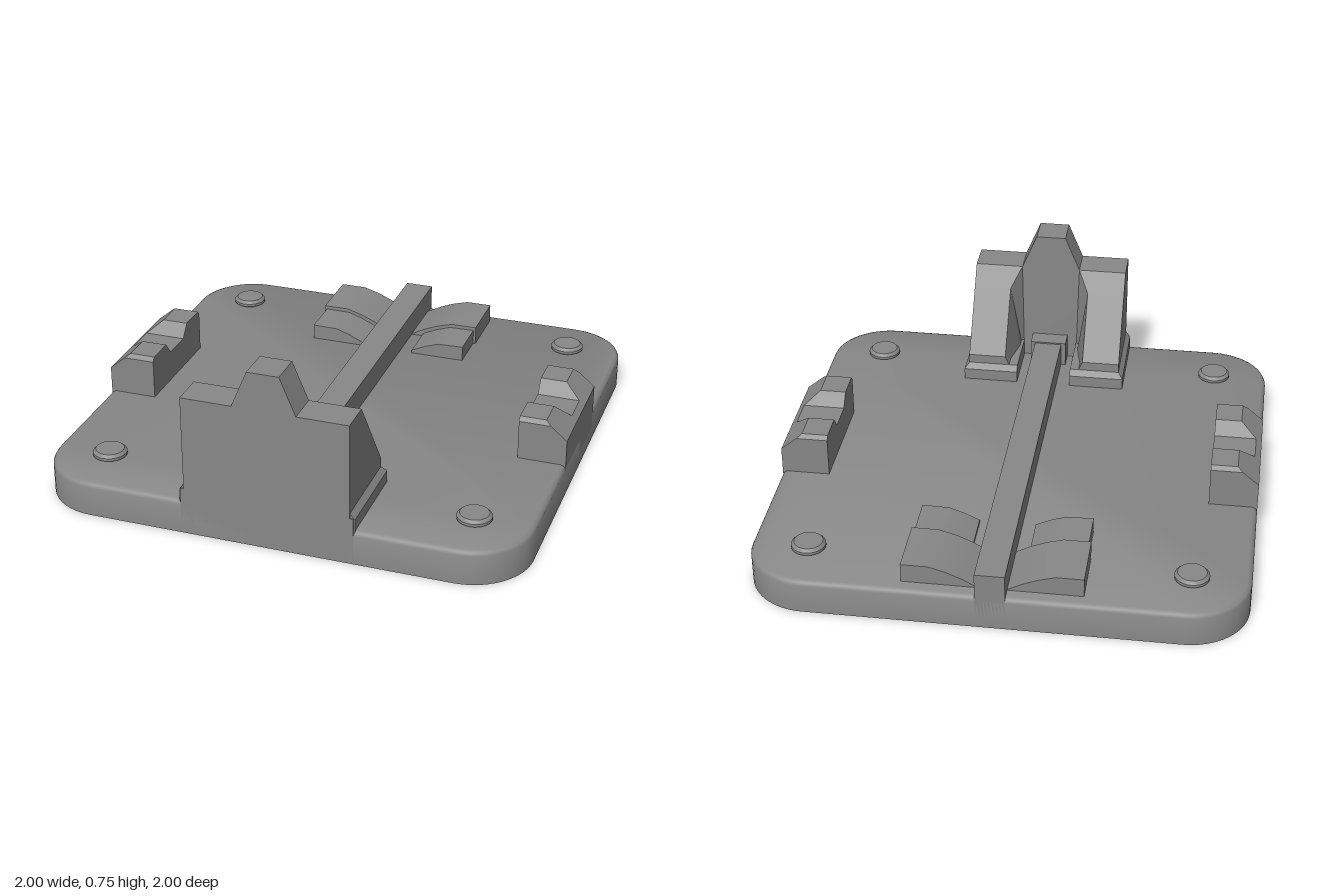
import * as THREE from 'three';
import { toCreasedNormals } from 'three/addons/utils/BufferGeometryUtils.js';

// Solid through a row of convex sections (lists of [x, y, z]), capped at both ends.
function loft(sections, crease = 0.5) {
  const n = sections[0].length, p = sections.flat(), idx = [];
  for (let s = 0; s < sections.length - 1; s++) {
    for (let i = 0; i < n; i++) {
      const a = s * n + i, b = s * n + (i + 1) % n;
      idx.push([a, b, b + n], [a, b + n, a + n]);
    }
  }
  const last = (sections.length - 1) * n;
  for (let i = 1; i < n - 1; i++) {
    idx.push([0, i + 1, i], [last, last + i, last + i + 1]);
  }
  // Turn the faces outward when the sections run the other way round
  const v = (k) => new THREE.Vector3(...p[k]);
  const volume = idx.reduce((sum, [a, b, c]) => sum + v(a).dot(v(b).cross(v(c))), 0);
  if (volume < 0) idx.forEach((t) => t.reverse());
  const g = new THREE.BufferGeometry();
  g.setAttribute('position', new THREE.Float32BufferAttribute(p.flat(), 3));
  g.setIndex(idx.flat());
  return toCreasedNormals(g.toNonIndexed(), crease);
}

// Horizontal rounded square ring
function roundedRing(half, radius, y) {
  const pts = [], steps = 12, c = half - radius;
  [[1, 1], [-1, 1], [-1, -1], [1, -1]].forEach(([sx, sz], q) => {
    for (let i = 0; i <= steps; i++) {
      const a = (q + i / steps) * Math.PI / 2;
      pts.push([sx * c + radius * Math.cos(a), y, sz * c + radius * Math.sin(a)]);
    }
  });
  return pts;
}

export function createModel() {
  const model = new THREE.Group();
  const grey = new THREE.MeshStandardMaterial({ color: 0x888888 });
  grey.name = 'grey plastic';

  const add = (name, geometry) => {
    const mesh = new THREE.Mesh(geometry, grey);
    mesh.name = name;
    model.add(mesh);
    return mesh;
  };
  const box = (name, x0, x1, y0, y1, z0, z1) => {
    const mesh = add(name, new THREE.BoxGeometry(x1 - x0, y1 - y0, z1 - z0));
    mesh.position.set((x0 + x1) / 2, (y0 + y1) / 2, (z0 + z1) / 2);
  };
  // The same outline in xy at each given z
  const prism = (name, outline, zs) =>
    add(name, loft(zs.map((z) => outline.map(([x, y]) => [x, y, z]))));

  // Base plate with a rounded top edge
  add('basePlate', loft([[0, 0], [0, 0.125], [0.006, 0.138], [0.02, 0.145]]
    .map(([inset, y]) => roundedRing(1 - inset, 0.25 - inset, y)), 0.7));

  // Centre rail and its stop at the wall
  box('centreRail', -0.06, 0.06, 0.05, 0.25, -1, 0.87);
  box('railStop', -0.08, 0.08, 0.1, 0.256, 0.78, 0.87);

  // Front wall with a tapered peak
  box('frontWall', -0.34, 0.34, 0, 0.6, 0.86, 1);
  prism('wallPeak', [[-0.13, 0.6], [0.13, 0.6], [0.065, 0.755], [-0.065, 0.755]], [0.86, 1]);

  for (const side of [1, -1]) {
    const word = side > 0 ? 'left' : 'right';

    // Sloped gusset behind the wall, its inner face leaning outward
    const gusset = [[0.62, 0.26, 0.176], [0.8, 0.515, 0.176], [0.86, 0.6, 0.13]];
    add(word + 'Gusset', loft(gusset.map(([z, top, inner]) => [
      [side * 0.12, 0.13, z], [side * 0.34, 0.13, z],
      [side * 0.34, top, z], [side * inner, top, z],
    ]), 0.1));

    // Stepped foot round the gusset
    const foot = [[0.6, 0.13, 0], [0.6, 0.195, 0], [0.62, 0.22, 0.02]];
    add(word + 'GussetFoot', loft(foot.map(([z, y, inset]) => [
      [side * 0.12, y, z], [side * (0.36 - inset), y, z],
      [side * (0.36 - inset), y, 0.995], [side * 0.12, y, 0.995],
    ]), 0.1));
    box(word + 'WallFoot', Math.min(side * 0.3, side * 0.355), Math.max(side * 0.3, side * 0.355),
      0.02, 0.2, 0.9, 1);

    // Side clip: notched top, chamfered outer edge
    const heights = [[-0.25, 0.312], [-0.236, 0.33], [-0.112, 0.33], [-0.068, 0.275],
      [0.068, 0.275], [0.112, 0.33], [0.236, 0.33], [0.25, 0.312]];
    add(word + 'SideClip', loft(heights.map(([z, h]) => [
      [side * 0.8, 0.06, z], [side, 0.06, z], [side, 0.255, z],
      [side * (0.91 + (0.33 - h) * 1.2), h, z], [side * 0.8, h, z],
    ]), 0.1));

    // Rear cradle pads, curving down toward the rail
    const mirror = (pts) => pts.map(([x, y]) => [side * x, y]);
    prism(word + 'RearPad', mirror([[0.06, 0.13], [0.36, 0.13], [0.36, 0.225],
      [0.25, 0.225], [0.18, 0.205], [0.12, 0.18], [0.06, 0.148]]), [-0.94, -0.69]);
    prism(word + 'RearPadStep', mirror([[0.115, 0.13], [0.35, 0.13], [0.35, 0.21],
      [0.24, 0.208], [0.18, 0.188], [0.115, 0.158]]), [-0.69, -0.51]);

    // Corner pegs: a wide rim on a narrower neck
    const profile = [[0.055, 0.13], [0.055, 0.152], [0.07, 0.154], [0.07, 0.166],
      [0.058, 0.178], [0, 0.178]].map(([r, y]) => new THREE.Vector2(r, y));
    for (const z of [-0.77, 0.765]) {
      const peg = add(word + (z > 0 ? 'Front' : 'Rear') + 'Peg',
        toCreasedNormals(new THREE.LatheGeometry(profile, 28).toNonIndexed(), 0.5));
      peg.position.set(side * 0.765, 0, z);
    }
  }
  return model;
}
